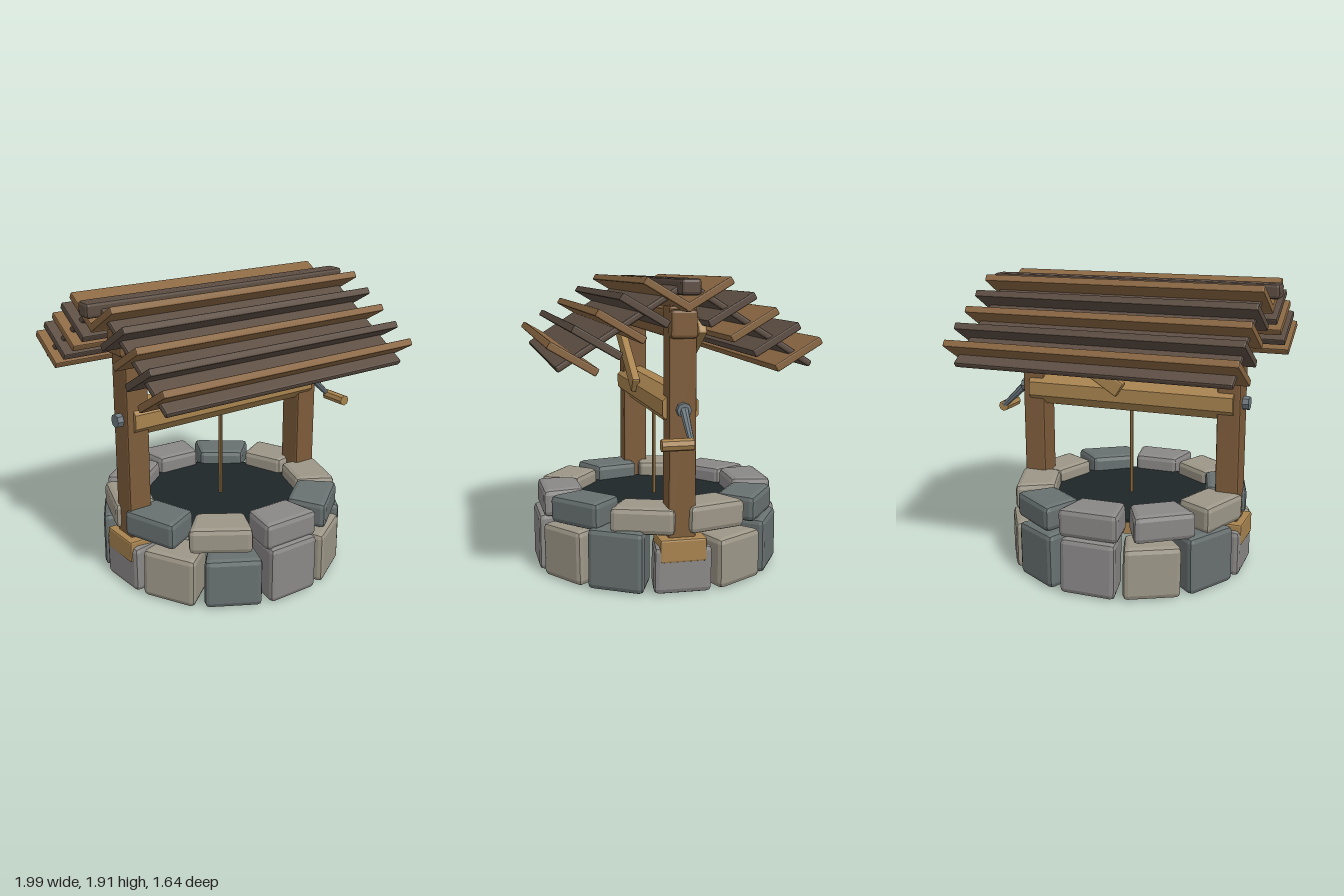
import * as THREE from 'three';
import { RoundedBoxGeometry } from 'three/addons/geometries/RoundedBoxGeometry.js';

const mat = (color) => new THREE.MeshStandardMaterial({ color, flatShading: true });

export function createModel() {
  const well = new THREE.Group();
  well.name = 'well';
  const CX = -0.012;
  const wood = mat(0x8a6742), post = mat(0x7d5c3a), paleWood = mat(0xa8834f);
  const darkWood = mat(0x5c4d42), metal = mat(0x6e7a80), water = mat(0x1e2628);
  const stones = [mat(0x8a8887), mat(0x9c9687), mat(0x687070)];

  const add = (parent, name, geometry, material, x = 0, y = 0, z = 0) => {
    const mesh = new THREE.Mesh(geometry, material);
    mesh.name = name;
    mesh.position.set(x, y, z);
    parent.add(mesh);
    return mesh;
  };
  // box with a single chamfer along its edges
  const block = (w, h, d, bevel = 0.012) => new RoundedBoxGeometry(w, h, d, 1, bevel);
  // cylinder running between two points
  const rod = (parent, name, a, b, ra, rb, sides, material) => {
    const from = new THREE.Vector3(...a), to = new THREE.Vector3(...b);
    const dir = to.clone().sub(from);
    const mesh = add(parent, name, new THREE.CylinderGeometry(rb, ra, dir.length(), sides), material);
    mesh.position.copy(from).add(to).multiplyScalar(0.5);
    mesh.quaternion.setFromUnitVectors(new THREE.Vector3(0, 1, 0), dir.normalize());
    return mesh;
  };

  // stone narrowing towards the middle of the ring (outside is local +z)
  const wedgeStone = (w, h, d, inner) => {
    const g = block(w, h, d, 0.035);
    const p = g.attributes.position;
    for (let i = 0; i < p.count; i++) {
      const t = p.getZ(i) / d + 0.5;
      p.setX(i, p.getX(i) * (inner + (1 - inner) * t));
    }
    return g;
  };
  const stoneRing = (name, o) => {
    const ring = new THREE.Group();
    ring.name = name;
    o.heights.forEach((h, i) => {
      const a = (i / o.heights.length) * Math.PI * 2;
      const r = o.outer - o.depth / 2;
      const s = add(ring, 'stone', wedgeStone(o.width, h, o.depth, o.inner), stones[o.tones[i % o.tones.length]],
        Math.sin(a) * r, o.base + h / 2, Math.cos(a) * r);
      s.rotation.set(0, a + 0.03 * Math.sin(i * 2.3), 0.02 * Math.sin(i * 1.7));
    });
    ring.position.x = CX;
    well.add(ring);
  };
  stoneRing('lowerStones', {
    heights: [0.38, 0.35, 0.39, 0.3, 0.32, 0.36, 0.37, 0.34, 0.38, 0.31, 0.33, 0.33],
    tones: [0, 1, 2], outer: 0.805, depth: 0.28, width: 0.375, inner: 0.72, base: 0.01,
  });
  stoneRing('upperStones', {
    heights: [0.18, 0.18, 0.17, 0.18, 0.17, 0.19, 0.18, 0.18, 0.18, 0.17],
    tones: [0, 2, 1, 1, 2, 0, 0, 1, 2, 1], outer: 0.775, depth: 0.27, width: 0.41, inner: 0.75, base: 0.37,
  });

  // water, rope and hanging bucket
  add(well, 'water', new THREE.CylinderGeometry(0.56, 0.56, 0.015, 24), water, CX, 0.44, 0);
  rod(well, 'rope', [CX, 0.4, 0], [CX, 1.08, 0], 0.013, 0.013, 8, paleWood);
  add(well, 'bucket', new THREE.CylinderGeometry(0.16, 0.145, 0.24, 14), paleWood, CX, 0.31, 0);

  // posts with their foot blocks, and the beam across their tops
  for (const s of [-1, 1]) {
    add(well, 'post', block(0.155, 1.47, 0.17), post, CX + s * 0.69, 1.015, 0);
    add(well, 'footBlock', block(0.2, 0.145, 0.29), paleWood, CX + s * 0.713, 0.285, 0);
    // diagonal brace: front one to the left-hand post, back one to the other
    const brace = add(well, 'brace', block(0.85, 0.11, 0.055), paleWood, CX + s * 0.395, 1.41, -s * 0.117);
    brace.rotation.z = s * 0.565;
  }
  add(well, 'topBeam', block(1.6, 0.17, 0.165, 0.02), post, CX, 1.645, 0);

  // winding drum, axle and crank
  const drum = rod(well, 'drum', [-0.735, 1.14, 0], [0.7, 1.14, 0], 0.119, 0.119, 8, paleWood);
  drum.rotateY(Math.PI / 8);
  rod(well, 'axle', [-0.82, 1.14, 0], [0.795, 1.14, 0], 0.045, 0.045, 8, metal);
  rod(well, 'crankArm', [0.78, 1.14, 0], [0.955, 0.975, 0], 0.028, 0.018, 8, metal);
  rod(well, 'crankHandle', [0.957, 0.97, -0.01], [0.957, 0.97, 0.18], 0.037, 0.037, 8, paleWood);

  // roof: a sheet on each side crossed by tilted planks, under a ridge beam
  const roof = new THREE.Group();
  roof.name = 'roof';
  roof.position.x = CX;
  roof.rotation.y = -0.01;
  well.add(roof);
  for (const s of [-1, 1]) {
    const slope = add(roof, 'roofSheet', block(1.79, 0.04, 0.86), darkWood, 0, 1.635, s * 0.39);
    slope.rotation.x = s * 0.565;
    for (let i = 0; i < 5; i++) {
      const plank = add(roof, 'roofPlank', block(1.875, 0.047, 0.32, 0.008), i % 2 ? darkWood : wood,
        0, 1.82 - i * 0.0875, s * (0.118 + i * 0.136));
      plank.rotation.x = -s * 0.535;
    }
  }
  add(roof, 'ridgeBeam', block(1.975, 0.095, 0.12, 0.02), darkWood, 0, 1.863, 0);
  return well;
}
